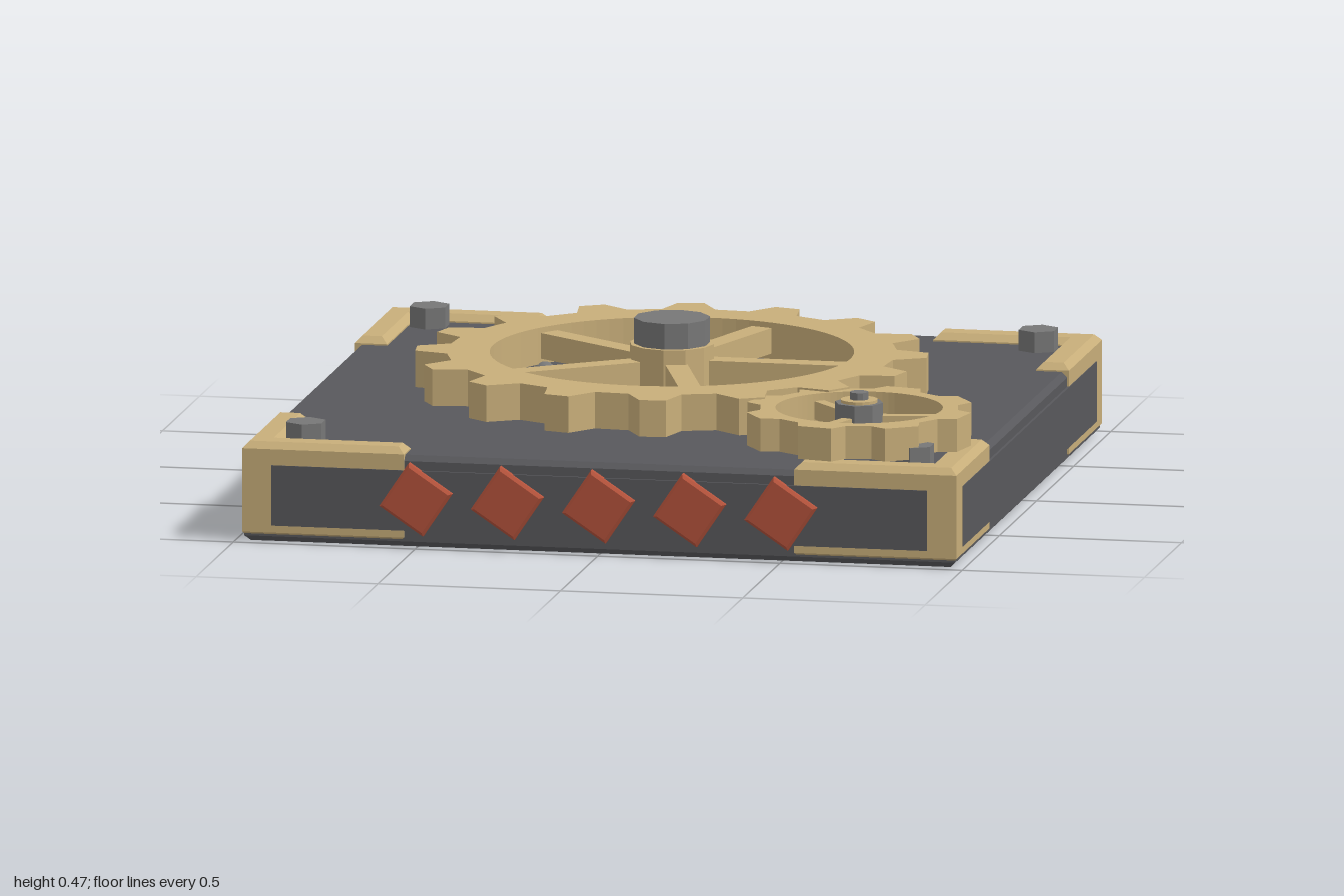
import * as THREE from 'three';

const mat = (color) => new THREE.MeshStandardMaterial({ color, flatShading: true });
const BRASS = mat(0xc8ae7a), SLATE = mat(0x58585c), STEEL = mat(0x777777), RED = mat(0xb5533c);

// Points of an outline given as [x, y] pairs
const outline = (pts) => new THREE.Shape(pts.map(([x, y]) => new THREE.Vector2(x, y)));

// Upright prism from a plan outline (shape y points to -z), chamfered edges kept inside the outline
function slabOf(shape, y0, y1, bevel = 0) {
  const geo = new THREE.ExtrudeGeometry(shape, {
    depth: y1 - y0 - 2 * bevel, bevelEnabled: bevel > 0, bevelThickness: bevel,
    bevelSize: bevel, bevelOffset: -bevel, bevelSegments: 1, curveSegments: 40,
  });
  return geo.rotateX(-Math.PI / 2).translate(0, y0 + bevel, 0);
}

function add(parent, name, geo, material, x = 0, y = 0, z = 0) {
  const mesh = new THREE.Mesh(geo, material);
  mesh.name = name;
  mesh.position.set(x, y, z);
  parent.add(mesh);
  return mesh;
}

// Upright cylinder between two heights
const post = (r, y0, y1, sides) =>
  new THREE.CylinderGeometry(r, r, y1 - y0, sides).translate(0, (y0 + y1) / 2, 0);

// Toothed ring with trapezoid teeth; angles in degrees
function gearShape({ teeth, start, root, tip, inner, rootHalf, tipHalf }) {
  const pts = [];
  const put = (r, deg) => {
    const a = THREE.MathUtils.degToRad(deg);
    pts.push([r * Math.cos(a), r * Math.sin(a)]);
  };
  for (let i = 0; i < teeth; i++) {
    const a = start + (i * 360) / teeth;
    put(root, a - rootHalf);
    put(tip, a - tipHalf);
    put(tip, a + tipHalf);
    put(root, a + rootHalf);
  }
  const shape = outline(pts);
  shape.holes.push(new THREE.Path().absarc(0, 0, inner, 0, Math.PI * 2, true));
  return shape;
}

function makeGear(name, spec) {
  const gear = new THREE.Group();
  gear.name = name;
  add(gear, 'toothedRing', slabOf(gearShape(spec), spec.y0, spec.y1), BRASS);
  for (let i = 0; i < spec.spokes; i++) {
    const length = spec.inner + 0.02;
    const geo = new THREE.BoxGeometry(length, spec.spokeHeight, spec.spokeWidth).translate(length / 2, 0, 0);
    const spoke = add(gear, 'spoke', geo, BRASS, 0, (spec.y0 + spec.y1) / 2, 0);
    spoke.rotation.y = THREE.MathUtils.degToRad(spec.spokeStart + (i * 360) / spec.spokes);
  }
  return gear;
}

export function createModel() {
  const model = new THREE.Group();
  model.name = 'gearPlate';

  // Base plate with chamfered edges
  const s = 0.975;
  add(model, 'basePlate', slabOf(outline([[-s, -s], [s, -s], [s, s], [-s, s]]), 0, 0.25, 0.015), SLATE);

  // L-shaped brackets, side panels and bolts, one set per corner
  const o = 0.98, i = 0.89, e = 0.535;
  const bracket = slabOf(outline([[o, o], [e, o], [e, i], [i, i], [i, e], [o, e]]), 0.008, 0.272, 0.018);
  const panel = new THREE.BoxGeometry(1.8, 0.165, 0.01);
  const bolt = post(0.056, 0.24, 0.307, 6);
  for (let k = 0; k < 4; k++) {
    const turn = (k * Math.PI) / 2;
    add(model, 'cornerBracket', bracket, BRASS).rotation.y = turn;
    const side = new THREE.Group();
    side.name = 'sidePanelMount';
    side.rotation.y = turn;
    add(side, 'sidePanel', panel, SLATE, 0, 0.128, 0.977);
    model.add(side);
    add(model, 'cornerBolt', bolt, STEEL, k % 2 ? 0.835 : -0.835, 0, k < 2 ? 0.835 : -0.835);
  }

  // Tilted red studs along the front and back edges
  const h = 0.072;
  const studGeo = new THREE.ExtrudeGeometry(outline([[-h, -h], [h, -h], [h, h], [-h, h]]), {
    depth: 0.03, bevelThickness: 0.008, bevelSize: 0.008, bevelOffset: -0.008, bevelSegments: 1,
  });
  for (const turn of [0, Math.PI]) {
    const row = new THREE.Group();
    row.name = turn ? 'backStuds' : 'frontStuds';
    row.rotation.y = turn;
    for (let n = -2; n <= 2; n++) {
      add(row, 'stud', studGeo, RED, n * 0.25, 0.133, 0.962).rotation.z = -0.59;
    }
    model.add(row);
  }

  // Ring of rivets under the large gear
  const rivetMat = new THREE.MeshStandardMaterial({ color: 0x777777 });
  const rivet = new THREE.SphereGeometry(0.032, 12, 8);
  for (let n = 0; n < 8; n++) {
    const a = THREE.MathUtils.degToRad(11.5 + n * 45);
    add(model, 'rivet', rivet, rivetMat, 0.485 * Math.cos(a), 0.245, -0.485 * Math.sin(a));
  }

  // Large gear with hub and centre bolt
  const large = makeGear('largeGear', {
    teeth: 16, start: 7.2, root: 0.605, tip: 0.69, inner: 0.49, rootHalf: 6.8, tipHalf: 3,
    y0: 0.27, y1: 0.37, spokes: 5, spokeStart: 0, spokeWidth: 0.06, spokeHeight: 0.07,
  });
  add(large, 'hub', post(0.115, 0.25, 0.395, 12), BRASS);
  add(large, 'centreBolt', post(0.103, 0.39, 0.465, 10), STEEL);
  model.add(large);

  // Small gear meshing at the front left corner
  const small = makeGear('smallGear', {
    teeth: 8, start: 78.5, root: 0.268, tip: 0.31, inner: 0.225, rootHalf: 15, tipHalf: 9,
    y0: 0.275, y1: 0.365, spokes: 3, spokeStart: 10, spokeWidth: 0.03, spokeHeight: 0.05,
  });
  add(small, 'hub', post(0.066, 0.24, 0.38, 8), STEEL);
  add(small, 'washer', post(0.05, 0.37, 0.388, 16), BRASS);
  add(small, 'axlePin', post(0.025, 0.38, 0.408, 10), STEEL);
  small.position.set(0.645, 0, 0.645);
  model.add(small);

  return model;
}
